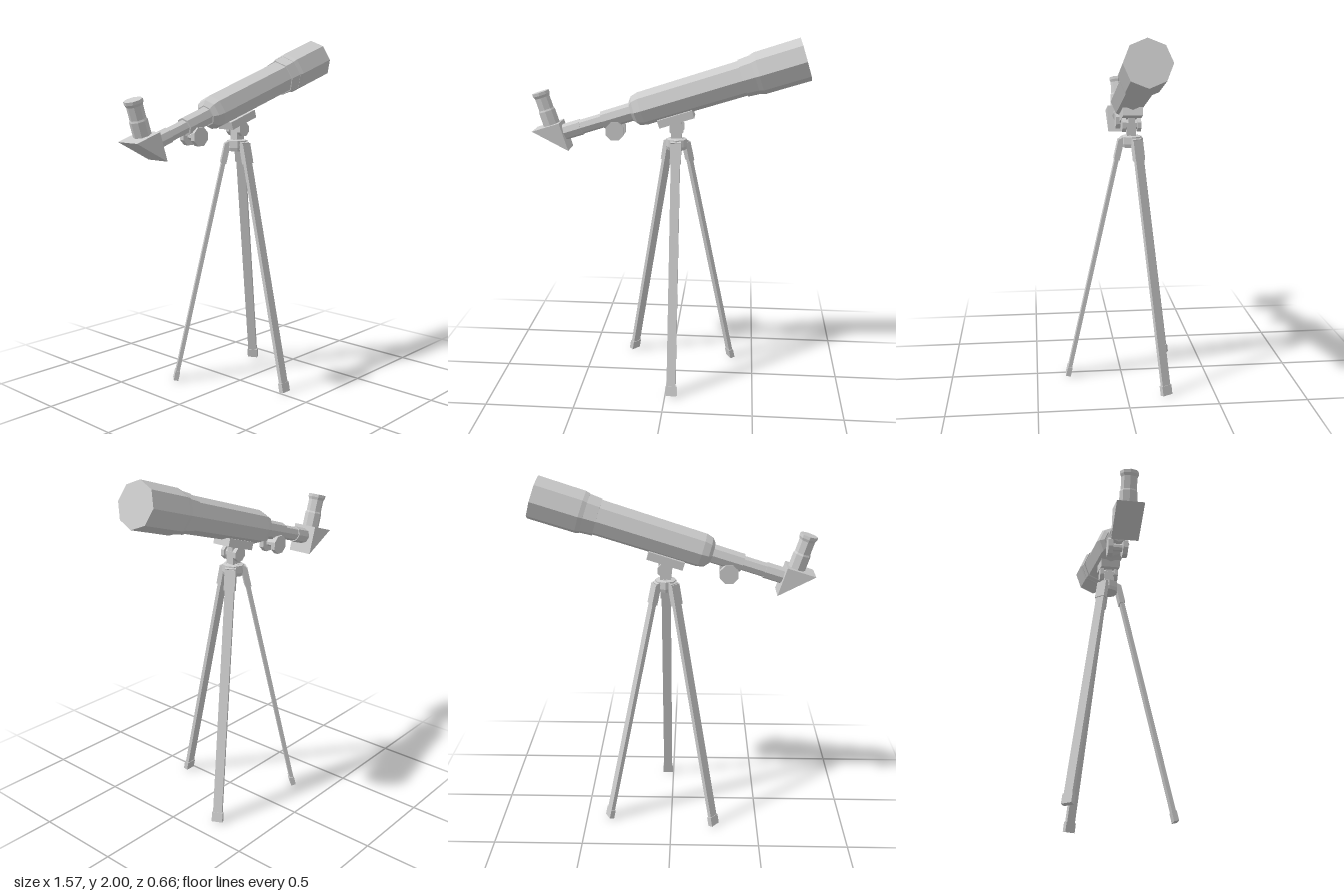
import * as THREE from 'three';

const mat = new THREE.MeshStandardMaterial({ color: 0xcccccc, flatShading: true });

function add(parent, name, geo, x = 0, y = 0, z = 0) {
  const m = new THREE.Mesh(geo, mat);
  m.name = name;
  m.position.set(x, y, z);
  parent.add(m);
  return m;
}

// Eight-sided turned part from [radius, height] pairs, lowest first
const turned = (pts) => new THREE.LatheGeometry(pts.map(([r, h]) => new THREE.Vector2(r, h)), 8);
// The same, laid along x
const turnedX = (pts) => turned(pts).rotateZ(-Math.PI / 2);
// Eight-sided disc with its axis along z
const discZ = (r, depth) => new THREE.CylinderGeometry(r, r, depth, 8).rotateX(Math.PI / 2).rotateZ(Math.PI / 8);

// Optical tube and its fittings, along local x with the front end at x = 0
function createTube() {
  const g = new THREE.Group();
  g.name = 'opticalTube';

  add(g, 'mainTube', turnedX([
    [0, -1.01], [0.06, -1.01], [0.085, -0.99], [0.096, -0.95], [0.1, -0.355], [0, -0.355],
  ]));
  add(g, 'collarRing', turnedX([[0, -0.36], [0.106, -0.36], [0.112, -0.28], [0, -0.28]]));
  add(g, 'dewShield', turnedX([[0, -0.29], [0.113, -0.29], [0.12, -0.265], [0.122, 0], [0, 0]]));

  // Focuser drawtube in three steps
  add(g, 'focuserTube', turnedX([[0, -1.185], [0.052, -1.185], [0.053, -1], [0, -1]]));
  add(g, 'drawTube', turnedX([[0, -1.32], [0.041, -1.32], [0.041, -1.18], [0, -1.18]]));
  add(g, 'diagonalSleeve', turnedX([[0, -1.43], [0.046, -1.43], [0.046, -1.315], [0, -1.315]]));

  // Right-angled diagonal prism
  const tri = new THREE.Shape();
  tri.moveTo(-1.417, -0.1);
  tri.lineTo(-1.417, 0.064);
  tri.lineTo(-1.581, 0.064);
  tri.closePath();
  add(g, 'diagonalPrism', new THREE.ExtrudeGeometry(tri, { depth: 0.148, bevelEnabled: false }), 0, 0, -0.074);

  // Eyepiece standing on the prism
  add(g, 'eyepiece', turned([
    [0, 0.06], [0.049, 0.06], [0.049, 0.145], [0.044, 0.155], [0.044, 0.225],
    [0.051, 0.24], [0.051, 0.257], [0, 0.257],
  ]), -1.476);

  // Saddle plate under the tube
  add(g, 'saddlePlate', new THREE.BoxGeometry(0.205, 0.045, 0.11), -0.78, -0.106, 0);
  return g;
}

// One leg leaning outward along +z
function createLeg(angle) {
  const turn = new THREE.Group();
  turn.name = 'leg';
  turn.rotation.y = angle;
  const lean = new THREE.Group();
  lean.name = 'leaningLeg';
  lean.position.set(0, 1.4, 0.06);
  lean.rotation.x = -Math.atan2(0.313, 1.4);
  turn.add(lean);
  add(lean, 'legBar', new THREE.BoxGeometry(0.052, 1.41, 0.022), 0, -0.71, 0);
  add(lean, 'legBracket', new THREE.BoxGeometry(0.062, 0.115, 0.032), 0, -0.045, 0);
  add(lean, 'foot', new THREE.BoxGeometry(0.062, 0.055, 0.028), 0, -1.404, 0);
  // Short shoulder joining the bracket to the hub
  const shoulder = add(turn, 'legShoulder', new THREE.BoxGeometry(0.06, 0.028, 0.05), 0, 1.415, 0.038);
  shoulder.rotation.x = 0.4;
  return turn;
}

export function createModel() {
  const model = new THREE.Group();
  model.name = 'telescope';

  const tube = createTube();
  tube.position.set(0.745, 1.885, -0.055);
  tube.rotation.z = THREE.MathUtils.degToRad(17.5);
  model.add(tube);

  // Focus knobs on a shared axle
  const focus = new THREE.Group();
  focus.name = 'focuser';
  focus.position.set(-0.312, 1.475, -0.055);
  model.add(focus);
  add(focus, 'focusAxle', discZ(0.022, 0.08));
  for (const side of [1, -1]) add(focus, 'focusKnob', discZ(0.055, 0.028), 0, 0, side * 0.042);

  // Tripod with its head
  const tripod = new THREE.Group();
  tripod.name = 'tripod';
  tripod.position.set(0.035, 0, -0.055);
  model.add(tripod);
  add(tripod, 'hub', turned([[0, 1.37], [0.055, 1.37], [0.062, 1.39], [0.06, 1.43], [0.035, 1.435], [0, 1.435]]));
  add(tripod, 'neck', new THREE.BoxGeometry(0.06, 0.07, 0.05), 0, 1.455, 0);
  add(tripod, 'pivot', discZ(0.028, 0.1), 0.003, 1.495, 0);
  for (const side of [1, -1]) add(tripod, 'pivotDisc', discZ(0.042, 0.022), 0.003, 1.495, side * 0.042);
  add(tripod, 'pivotBlock', new THREE.BoxGeometry(0.05, 0.07, 0.036), 0.003, 1.515, 0);
  for (const deg of [0, 117, -130]) tripod.add(createLeg(THREE.MathUtils.degToRad(deg)));

  return model;
}
